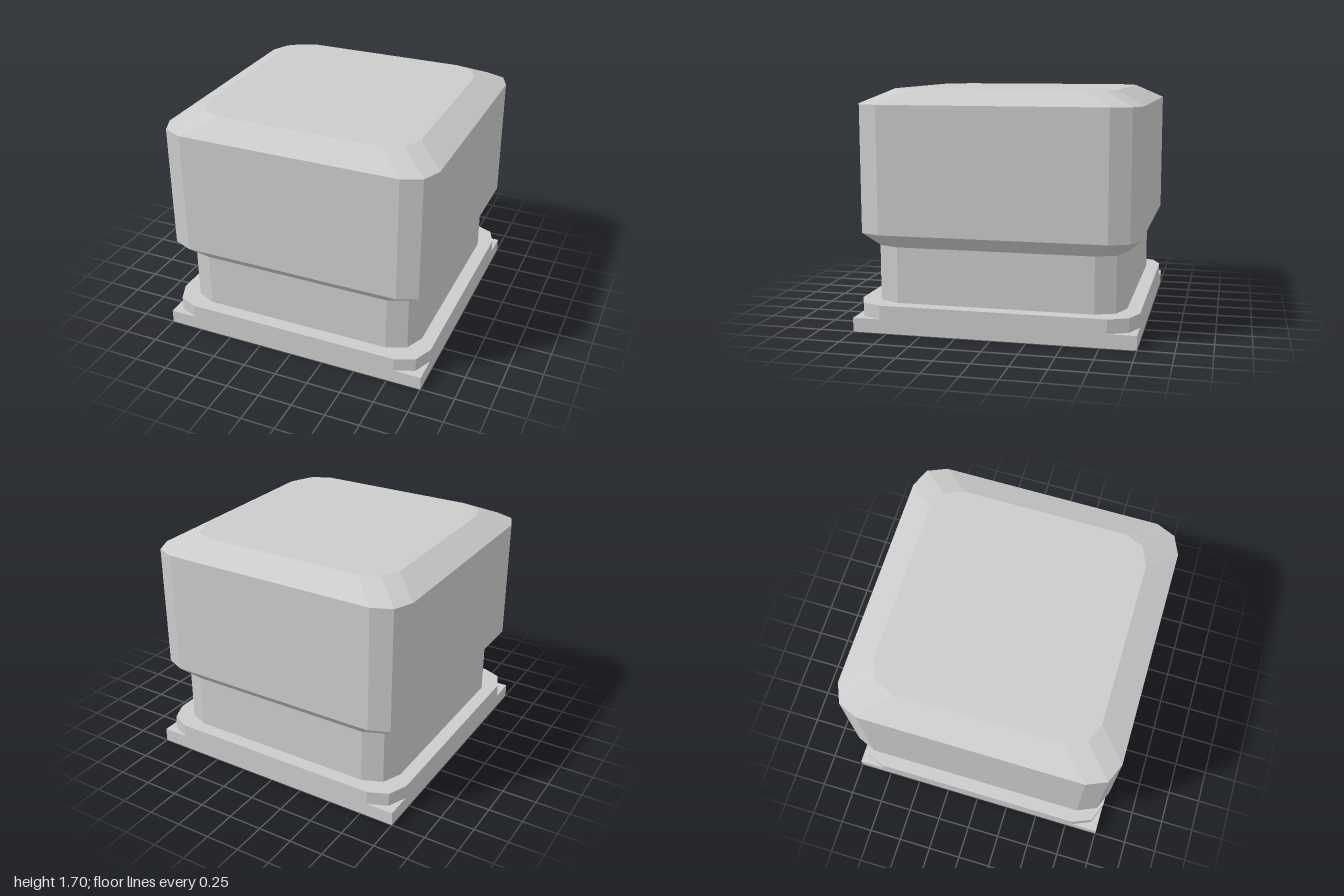
import * as THREE from 'three';

const material = new THREE.MeshStandardMaterial({ color: 0xcccccc, flatShading: true, side: THREE.DoubleSide });

// Quarter turns of a few [x, z] points, running from +x towards +z.
const turn = (points, k) => {
  let p = points;
  for (let i = 0; i < k; i++) p = p.map(([x, z]) => [-z, x]);
  return p;
};

// Square outline with chamfered corners, moved inwards by an inset.
const corner = (inset) => [[1, 0.8], [0.94, 0.94], [0.8, 1]].map(([x, z]) => [x - inset, z - inset]);
const outline = (inset) => [0, 1, 2, 3].flatMap((k) => turn(corner(inset), k));

// Band of flat faces through [inset, y] sections.
function shell(sections) {
  const positions = [];
  for (let s = 0; s < sections.length - 1; s++) {
    const [lower, upper] = [sections[s], sections[s + 1]].map(([inset, y]) =>
      outline(inset).map(([x, z]) => [x, y, z]));
    for (let i = 0; i < lower.length; i++) {
      const j = (i + 1) % lower.length;
      positions.push(...lower[i], ...upper[i], ...lower[j], ...lower[j], ...upper[i], ...upper[j]);
    }
  }
  const g = new THREE.BufferGeometry();
  g.setAttribute('position', new THREE.Float32BufferAttribute(positions, 3));
  g.computeVertexNormals();
  return g;
}

// Flat horizontal face, facing up, from [x, z] points.
function flat(points, y) {
  const shape = new THREE.Shape(points.map(([x, z]) => new THREE.Vector2(x, -z)));
  return new THREE.ShapeGeometry(shape).rotateX(-Math.PI / 2).translate(0, y, 0);
}

export function createModel() {
  const model = new THREE.Group();
  model.name = 'keycapBlock';
  const add = (name, geometry) => {
    const mesh = new THREE.Mesh(geometry, material);
    mesh.name = name;
    model.add(mesh);
  };

  // Square skirt, open underneath
  add('baseSkirt', new THREE.CylinderGeometry(Math.SQRT2, Math.SQRT2, 0.1, 4, 1, true)
    .rotateY(Math.PI / 4).translate(0, 0.05, 0));

  // Small ledges closing the skirt's square corners
  for (let k = 0; k < 4; k++) add('cornerLedge', flat(turn([[1, 1], ...corner(0).reverse()], k), 0.1));

  // Chamfered flange with its step, then the recessed neck
  add('baseFlange', shell([[0, 0.1], [0, 0.2], [0.1, 0.2]]));
  add('neck', shell([[0.1, 0.2], [0.1, 0.6]]));

  // Hollow head: flared underside, walls, bevel and top
  add('head', shell([[0.1, 0.6], [0, 0.7], [0, 1.6], [0.2, 1.7]]));
  add('headTop', flat(outline(0.2), 1.7));

  return model;
}
